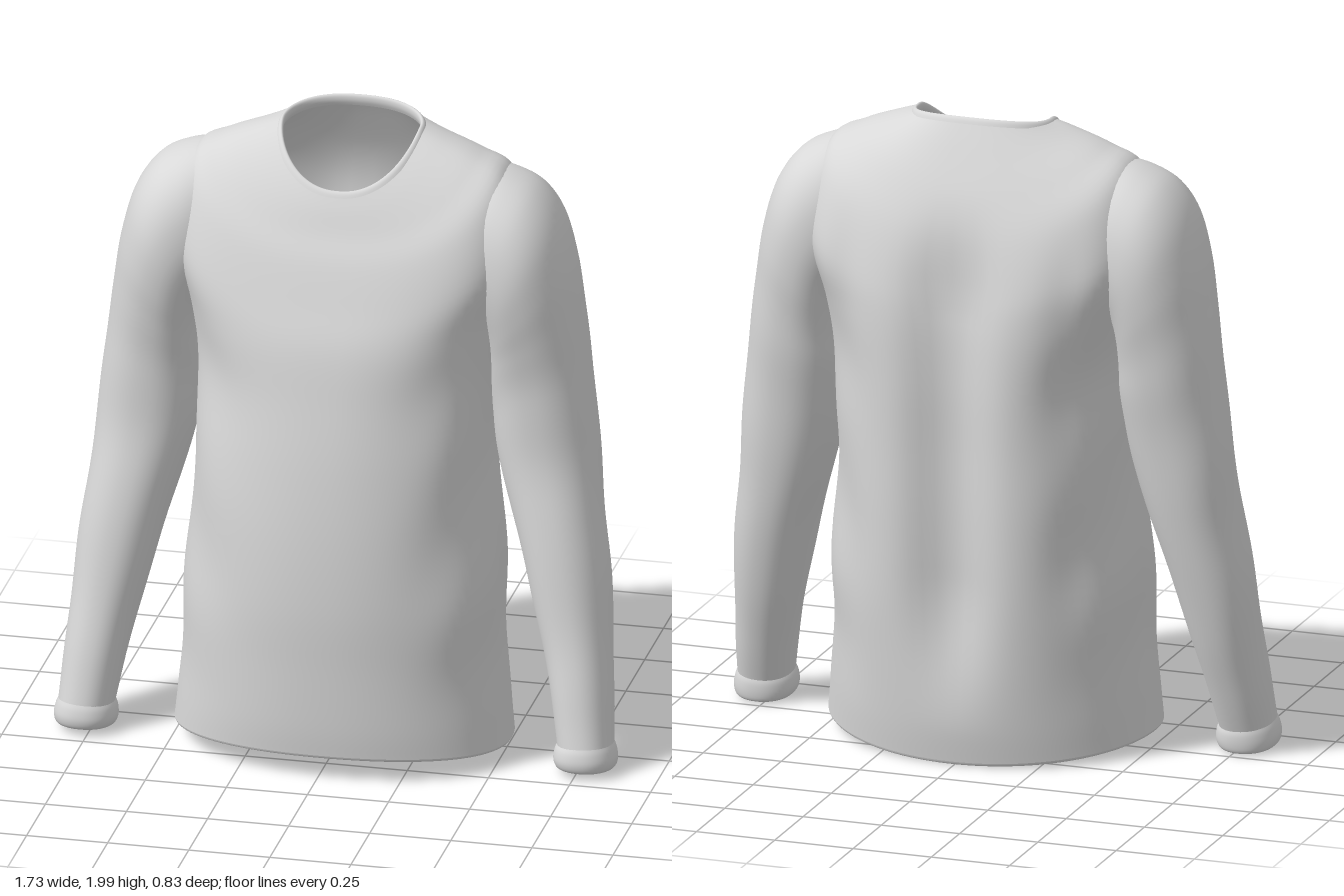
import * as THREE from 'three';

const cloth = new THREE.MeshStandardMaterial({ color: 0xd8d8d8, side: THREE.DoubleSide });
cloth.name = 'light grey cloth';

// Catmull-Rom through a list of number rows, t from 0 to 1
function sample(rows, t) {
  const n = rows.length - 1;
  const i = Math.min(Math.floor(t * n), n - 1);
  const f = t * n - i;
  const row = (k) => rows[Math.max(0, Math.min(n, k))];
  const [a, b, c, d] = [row(i - 1), row(i), row(i + 1), row(i + 2)];
  return b.map((v, k) => v + 0.5 * f * (c[k] - a[k]
    + f * (2 * a[k] - 5 * v + 4 * c[k] - d[k] + f * (3 * (v - c[k]) + d[k] - a[k]))));
}

// Closed-ring surface: point(angle, t) gives [x, y, z]; rows run downwards
function loft(name, rows, cols, point, flip = false) {
  const positions = [], index = [];
  for (let i = 0; i <= rows; i++) {
    for (let j = 0; j < cols; j++) {
      positions.push(...point((j / cols) * Math.PI * 2, i / rows));
      if (i === rows) continue;
      const a = i * cols + j, b = i * cols + ((j + 1) % cols);
      const c = a + cols, d = b + cols;
      if (flip) index.push(a, c, b, b, c, d);
      else index.push(a, b, c, b, d, c);
    }
  }
  const geometry = new THREE.BufferGeometry();
  geometry.setAttribute('position', new THREE.Float32BufferAttribute(positions, 3));
  geometry.setIndex(index);
  geometry.computeVertexNormals();
  const mesh = new THREE.Mesh(geometry, cloth);
  mesh.name = name;
  return mesh;
}

const bump = (v, centre, width) => Math.exp(-(((v - centre) / width) ** 2));
const smooth = THREE.MathUtils.smoothstep;
const signedPow = (v, p) => Math.sign(v) * Math.abs(v) ** p;

// Body rings: half width, z front, z back, y front, y side, y back, front roundness, back roundness
const BODY = [
  [0.212, 0.145, -0.205, 1.82, 1.97, 1.992, 0.9, 0.85],
  [0.28, 0.17, -0.25, 1.77, 1.948, 1.91, 0.84, 0.8],
  [0.39, 0.2, -0.31, 1.7, 1.906, 1.79, 0.78, 0.74],
  [0.485, 0.24, -0.365, 1.62, 1.845, 1.66, 0.75, 0.7],
  [0.525, 0.285, -0.405, 1.5, 1.64, 1.52, 0.76, 0.7],
  [0.485, 0.33, -0.43, 1.37, 1.42, 1.39, 0.82, 0.75],
  [0.45, 0.36, -0.44, 1.2, 1.22, 1.2, 0.9, 0.8],
  [0.45, 0.39, -0.438, 1.0, 1.0, 1.0, 0.93, 0.82],
  [0.465, 0.41, -0.435, 0.78, 0.78, 0.78, 0.94, 0.84],
  [0.48, 0.415, -0.425, 0.56, 0.56, 0.55, 0.94, 0.87],
  [0.488, 0.405, -0.405, 0.36, 0.35, 0.33, 0.94, 0.92],
  [0.505, 0.395, -0.38, 0.18, 0.16, 0.13, 0.93, 0.96],
  [0.516, 0.385, -0.36, 0.085, 0.06, 0.015, 0.93, 0.98],
];

function bodyPoint(angle, t) {
  const [w, zf, zb, yf, ys, yb, pf, pb] = sample(BODY, t);
  const c = Math.cos(angle), s = Math.sin(angle);
  const front = s > 0;
  const p = front ? pf : pb;
  // the widest line drifts forwards from shoulder to hem
  const zc = -0.05 + 0.1 * smooth(t, 0.3, 0.75);
  const y = ys + ((front ? yf : yb) - ys) * Math.abs(s) ** 1.5;
  const x = 0.01 + w * signedPow(c, p);
  let z = zc + ((front ? zf : zb) - zc) * Math.abs(s) ** p;
  // hanging folds: a valley down the spine between two ridges
  const fade = smooth(y, 0.1, 0.6) * (1 - smooth(y, 1.4, 1.8));
  if (!front) {
    z += fade * Math.abs(s) * (0.08 * bump(x, 0, 0.12) + 0.02 * bump(Math.abs(x), 0.36, 0.06));
  }
  // slanting creases at the sides
  const side = bump(Math.abs(c), 0.82, 0.25) * fade;
  const crease = 0.008 * side * Math.sin(11 * y + 9 * z * Math.sign(s) + (c > 0 ? 0 : 1.2));
  return [x + crease * c, y, z + crease * s];
}

// Rim that turns round an edge ring: offsets are [inward, up]
function rim(name, t, offsets) {
  return loft(name, (offsets.length - 1) * 3, 96, (angle, u) => {
    const [x, y, z] = bodyPoint(angle, t);
    const [inward, up] = sample(offsets, u);
    return [x - inward * Math.cos(angle), y + up, z - inward * Math.sin(angle)];
  });
}

// Sleeve rings: inner x, inner y, outer x, outer y, z centre, z radius
const SLEEVE = [
  [0.36, 1.47, 0.41, 1.875, -0.06, 0.17],
  [0.39, 1.44, 0.5, 1.855, -0.06, 0.205],
  [0.415, 1.40, 0.585, 1.81, -0.06, 0.225],
  [0.43, 1.36, 0.65, 1.72, -0.06, 0.23],
  [0.438, 1.31, 0.692, 1.58, -0.062, 0.22],
  [0.44, 1.25, 0.718, 1.42, -0.064, 0.2],
  [0.442, 1.15, 0.745, 1.22, -0.065, 0.178],
  [0.46, 1.0, 0.768, 1.0, -0.055, 0.16],
  [0.51, 0.8, 0.79, 0.8, -0.027, 0.153],
  [0.567, 0.6, 0.815, 0.6, 0.0, 0.145],
  [0.62, 0.4, 0.832, 0.4, 0.038, 0.13],
  [0.66, 0.22, 0.845, 0.22, 0.08, 0.115],
  [0.685, 0.085, 0.853, 0.095, 0.115, 0.102],
];

// Cuff rings, the last ones folding back inside
const CUFF = [
  [0.688, 0.095, 0.851, 0.1, 0.115, 0.1],
  [0.678, 0.075, 0.86, 0.08, 0.117, 0.107],
  [0.674, 0.045, 0.866, 0.05, 0.12, 0.109],
  [0.682, 0.022, 0.86, 0.024, 0.12, 0.102],
  [0.7, 0.018, 0.842, 0.02, 0.12, 0.085],
  [0.71, 0.045, 0.832, 0.05, 0.118, 0.075],
  [0.7, 0.12, 0.835, 0.12, 0.112, 0.08],
];

function sleevePart(name, rings, rows, side, folds) {
  return loft(name, rows, 48, (angle, t) => {
    const [xi, yi, xo, yo, zc, rz] = sample(rings, t);
    const c = Math.cos(angle), s = Math.sin(angle);
    const ripple = folds * smooth(t, 0.4, 0.55) * (1 - smooth(t, 0.85, 1));
    const k = 1 + ripple * Math.sin(34 * t + 2 * s + c);
    const h = (signedPow(c, 0.92) * k + 1) / 2;
    const z = rz * signedPow(s, 0.92) * k;
    // the wrist end is cut a little higher at the front
    const tilt = 0.1 * z * (1 - smooth(yi, 0.1, 0.5));
    return [side * (xi + (xo - xi) * h), yi + (yo - yi) * h + tilt, zc + z];
  }, side < 0);
}

export function createModel() {
  const model = new THREE.Group();
  model.name = 'longSleevedShirt';

  model.add(loft('body', 72, 96, bodyPoint));

  // narrow neckband and turned hem
  model.add(rim('neckband', 0, [
    [-0.014, -0.012], [-0.008, 0.0], [0.0, 0.006], [0.006, 0.0], [0.006, -0.015], [0.0, -0.03]]));
  model.add(rim('hem', 1, [
    [0.0, 0.0], [0.004, -0.008], [0.014, -0.01], [0.02, 0.0], [0.018, 0.04]]));

  for (const [side, word] of [[1, 'left'], [-1, 'right']]) {
    model.add(sleevePart(word + 'Sleeve', SLEEVE, 72, side, 0.015));
    model.add(sleevePart(word + 'Cuff', CUFF, 24, side, 0));
  }
  return model;
}
